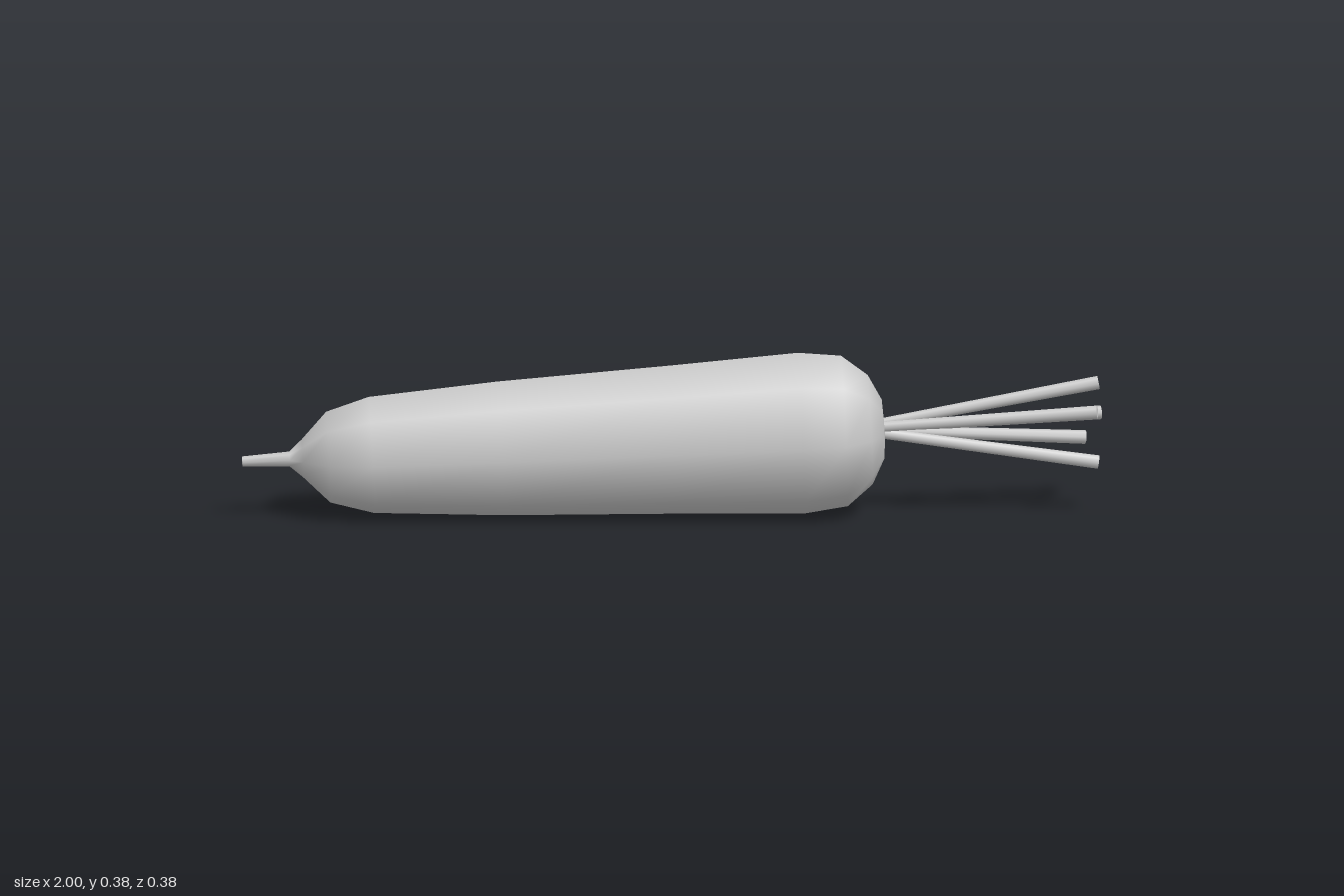
import * as THREE from 'three';

const material = new THREE.MeshStandardMaterial({ color: 0xcccccc });

// Tapered stalk between two points
function stalk(start, end) {
  const dir = end.clone().sub(start);
  const mesh = new THREE.Mesh(new THREE.CylinderGeometry(0.016, 0.012, dir.length(), 8), material);
  mesh.position.copy(start).addScaledVector(dir, 0.5);
  mesh.quaternion.setFromUnitVectors(new THREE.Vector3(0, 1, 0), dir.normalize());
  mesh.name = 'stalk';
  return mesh;
}

export function createModel() {
  const group = new THREE.Group();
  group.name = 'carrot';

  // Eight-sided root: [radius, distance along the axis], thin tip to crown
  const profile = [
    [0, -1], [0.012, -1], [0.018, -0.89], [0.045, -0.86], [0.108, -0.8], [0.138, -0.7],
    [0.159, -0.4], [0.176, 0], [0.191, 0.3], [0.179, 0.4], [0.13, 0.46], [0.07, 0.49], [0, 0.494],
  ].map(([r, s]) => new THREE.Vector2(r, s));
  const root = new THREE.Mesh(new THREE.LatheGeometry(profile, 8), material);
  root.name = 'root';
  // Lies on its side, tilted so that its underside rests flat
  root.rotation.z = -Math.PI / 2 + 0.045;
  root.position.y = 0.181;
  group.add(root);

  // Stalks fanning out of the crown
  const stalks = new THREE.Group();
  stalks.name = 'stalks';
  for (const [x, y, z] of [
    [0.99, 0.31, 0], [0.985, 0.255, 0.07], [0.998, 0.221, -0.083], [0.962, 0.161, -0.091], [0.99, 0.121, 0],
  ]) {
    const start = new THREE.Vector3(0.46, 0.203 + (y - 0.203) * 0.08, z * 0.05);
    stalks.add(stalk(start, new THREE.Vector3(x, y, z)));
  }
  group.add(stalks);
  return group;
}
